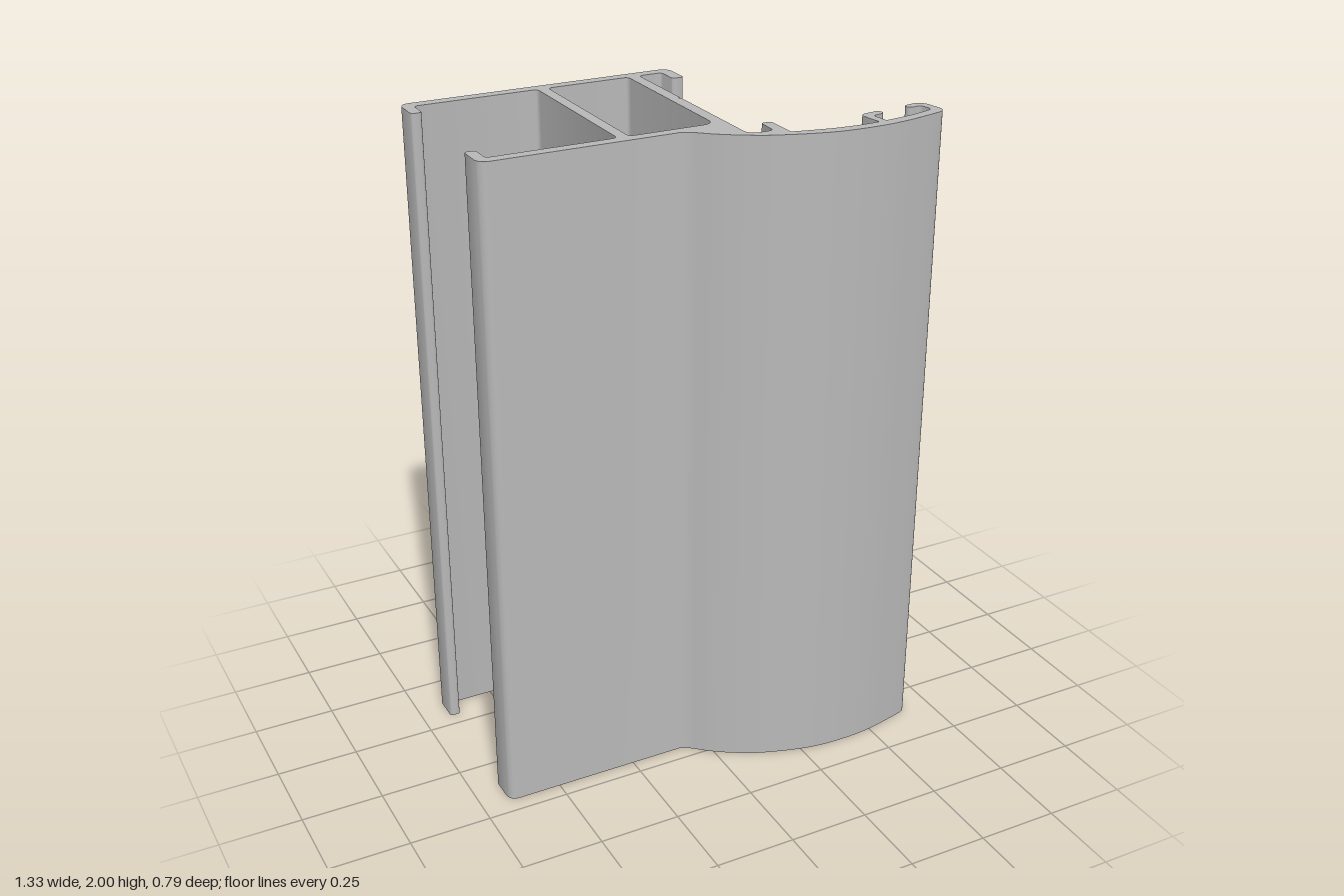
import * as THREE from 'three';
import { toCreasedNormals } from 'three/addons/utils/BufferGeometryUtils.js';

const HEIGHT = 2;

// Closed loop from corners [x, z, radius]; corners without a radius stay sharp
function roundedLoop(corners) {
  const pts = corners.map(([x, z]) => new THREE.Vector2(x, z));
  const loop = [];
  corners.forEach(([, , r = 0], i) => {
    const p = pts[i];
    if (!r) { loop.push(p); return; }
    const prev = pts[(i + pts.length - 1) % pts.length];
    const next = pts[(i + 1) % pts.length];
    const toPrev = prev.clone().sub(p).normalize();
    const toNext = next.clone().sub(p).normalize();
    const half = Math.acos(THREE.MathUtils.clamp(toPrev.dot(toNext), -1, 1)) / 2;
    const limit = 0.48 * Math.min(p.distanceTo(prev), p.distanceTo(next));
    const cut = Math.min(r / Math.tan(half), limit);
    const radius = cut * Math.tan(half);
    const centre = toPrev.clone().add(toNext).normalize().multiplyScalar(radius / Math.sin(half)).add(p);
    const start = toPrev.multiplyScalar(cut).add(p).sub(centre);
    const end = toNext.multiplyScalar(cut).add(p).sub(centre);
    const a = start.angle();
    let sweep = end.angle() - a;
    if (sweep > Math.PI) sweep -= 2 * Math.PI;
    if (sweep < -Math.PI) sweep += 2 * Math.PI;
    for (let k = 0; k <= 6; k++) {
      const t = a + sweep * k / 6;
      loop.push(new THREE.Vector2(centre.x + radius * Math.cos(t), centre.y + radius * Math.sin(t)));
    }
  });
  return loop;
}

// Smooth run of points through a few guides
function sweepPoints(guides, n) {
  return new THREE.SplineCurve(guides.map(([x, z]) => new THREE.Vector2(x, z)))
    .getPoints(n).map(p => [p.x, p.y]);
}

export function createModel() {
  const group = new THREE.Group();
  group.name = 'extrudedProfile';
  const aluminium = new THREE.MeshStandardMaterial({ color: 0xb8b8b8 });
  aluminium.name = 'aluminium grey';

  const outline = roundedLoop([
    // back flange and its right lip
    [-0.665, -0.4, 0.03], [0.18, -0.4, 0.03], [0.18, -0.293, 0.01], [0.143, -0.293, 0.01],
    [0.143, -0.365, 0.012], [0.069, -0.365, 0.012],
    // outer web face with its small groove
    [0.069, -0.108], [0.061, -0.1], [0.069, -0.092],
    // pocket and upright rib
    [0.069, 0.295, 0.03], [0.145, 0.295, 0.015], [0.145, 0.222, 0.01], [0.178, 0.222, 0.01],
    // inside of the curved wing up to the middle hook
    ...sweepPoints([[0.178, 0.328], [0.29, 0.352], [0.38, 0.36], [0.438, 0.358]], 12),
    [0.426, 0.277, 0.02], [0.496, 0.267, 0.016], [0.498, 0.295, 0.014], [0.455, 0.301, 0.012],
    // inside of the wing to the end hook
    ...sweepPoints([[0.464, 0.356], [0.55, 0.344], [0.61, 0.329]], 8),
    [0.636, 0.322, 0.014], [0.627, 0.278, 0.012], [0.588, 0.284, 0.014], [0.584, 0.257, 0.014],
    [0.649, 0.247, 0.035], [0.667, 0.348, 0.035],
    // outside of the wing, flowing back to the front flange
    ...sweepPoints([[0.61, 0.363], [0.5, 0.386], [0.39, 0.393], [0.27, 0.382], [0.13, 0.339],
      [0.05, 0.298], [-0.01, 0.257], [-0.06, 0.214], [-0.088, 0.2]], 40),
    // front flange and its lip
    [-0.665, 0.2, 0.03], [-0.665, 0.098, 0.01], [-0.632, 0.098, 0.01], [-0.632, 0.166, 0.012],
    // open channel and left lip of the back flange
    [-0.257, 0.166, 0.015], [-0.257, -0.365, 0.015], [-0.632, -0.365, 0.012],
    [-0.632, -0.296, 0.01], [-0.665, -0.296, 0.01],
  ]);

  const shape = new THREE.Shape(outline);
  // closed chamber between the two webs
  shape.holes.push(new THREE.Path(roundedLoop([
    [-0.224, -0.365, 0.015], [0.033, -0.365, 0.015], [0.033, 0.166, 0.03], [-0.224, 0.166, 0.015],
  ])));

  // Stand the extrusion upright: section depth becomes z
  const geometry = new THREE.ExtrudeGeometry(shape, { depth: HEIGHT, bevelEnabled: false, steps: 1 });
  geometry.rotateX(Math.PI / 2);
  geometry.translate(0, HEIGHT, 0);

  const profile = new THREE.Mesh(toCreasedNormals(geometry, 0.5), aluminium);
  profile.name = 'frameProfile';
  group.add(profile);
  return group;
}
